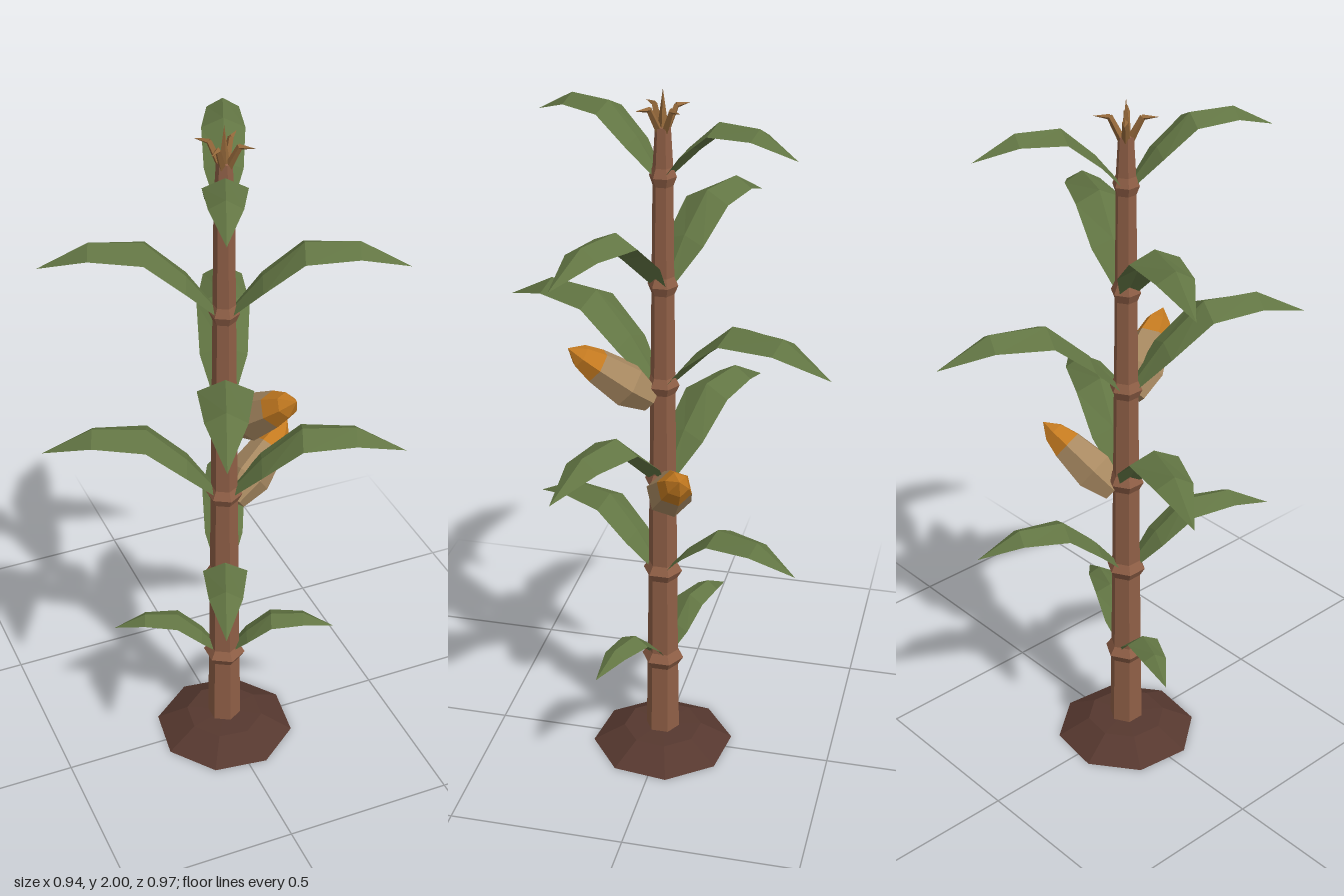
import * as THREE from 'three';

const flat = (name, color) => {
  const m = new THREE.MeshStandardMaterial({ color, flatShading: true });
  m.name = name;
  return m;
};
const deg = THREE.MathUtils.degToRad;
const lathe = (points, sides, start = 0) =>
  new THREE.LatheGeometry(points.map(([r, y]) => new THREE.Vector2(r, y)), sides, start);

// Folded leaf pointing along +x: rows of [reach, height, half width, edge drop], for length 1
const LEAF = [
  [0.04, 0.02, 0.05, 0.02], [0.205, 0.225, 0.125, 0.045], [0.425, 0.425, 0.14, 0.065],
  [0.72, 0.43, 0.105, 0.06], [1, 0.275, 0, 0],
];
function leafGeometry() {
  const pos = [], index = [];
  LEAF.forEach(([x, y, w, drop], i) => {
    pos.push(x, y - drop, -w, x, y, 0, x, y - drop, w);
    if (i === LEAF.length - 1) return;
    for (let j = 0; j < 2; j++) {
      const a = i * 3 + j, b = a + 3;
      index.push(a + 1, b + 1, b, a + 1, b, a);
    }
  });
  const g = new THREE.BufferGeometry();
  g.setAttribute('position', new THREE.Float32BufferAttribute(pos, 3));
  g.setIndex(index);
  g.computeVertexNormals();
  return g;
}

export function createModel() {
  const model = new THREE.Group();
  model.name = 'cornPlant';
  const soil = flat('soil', 0x56382f);
  const stem = flat('stem', 0x8f5f46);
  const green = flat('leafGreen', 0x627543);
  green.side = THREE.DoubleSide;
  const huskTan = flat('huskTan', 0xa88961);
  const kernel = flat('kernelOrange', 0xc47a20);
  const straw = flat('tasselBrown', 0x94683a);

  const add = (parent, name, geometry, material) => {
    const mesh = new THREE.Mesh(geometry, material);
    mesh.name = name;
    parent.add(mesh);
    return mesh;
  };

  // Soil mound
  add(model, 'soilMound',
    lathe([[0, 0], [0.207, 0], [0.115, 0.052], [0, 0.058]], 8, deg(15)), soil);

  // Stalk with a flared ring at every node
  const nodes = [0.3, 0.595, 0.885, 1.18, 1.47, 1.77];
  const radius = (y) => 0.05 - 0.0125 * y;
  const profile = [[0, 0.02], [radius(0), 0.02]];
  for (const y of nodes) {
    const r = radius(y);
    profile.push([r, y - 0.025], [r * 1.33, y], [r * 0.98, y + 0.025]);
  }
  profile.push([0.021, 1.9], [0, 1.905]);
  add(model, 'stalk', lathe(profile, 6), stem);

  // Opposite leaf pairs, turned a quarter at each node
  const leafShape = leafGeometry();
  const lengths = [0.325, 0.44, 0.505, 0.525, 0.485, 0.405];
  nodes.forEach((y, i) => {
    for (const side of [0, 180]) {
      const leaf = add(model, 'leaf', leafShape, green);
      leaf.position.y = y;
      leaf.scale.setScalar(lengths[i]);
      leaf.rotation.y = deg((i % 2 ? 68 : -22) + side);
    }
  });

  // Ears: husk and exposed cob on a tilted axis
  const huskShape = lathe([[0, 0], [0.038, 0], [0.065, 0.08], [0.05, 0.185]], 6);
  const cobShape = lathe([[0.05, 0.185], [0.034, 0.238], [0, 0.28]], 6);
  for (const [y, heading] of [[0.842, 23], [1.138, -66]]) {
    const ear = new THREE.Group();
    ear.name = 'ear';
    add(ear, 'husk', huskShape, huskTan);
    add(ear, 'cob', cobShape, kernel);
    const a = deg(heading);
    const c = Math.cos(a), s = -Math.sin(a), lift = deg(37);
    ear.position.set(0.035 * c, y, 0.035 * s);
    ear.quaternion.setFromUnitVectors(new THREE.Vector3(0, 1, 0),
      new THREE.Vector3(Math.cos(lift) * c, Math.sin(lift), Math.cos(lift) * s));
    model.add(ear);
  }

  // Tassel: centre spike and four bent prongs
  const tassel = new THREE.Group();
  tassel.name = 'tassel';
  model.add(tassel);
  const limb = (parent, name, from, to, r0, r1) => {
    const a = new THREE.Vector3(...from), b = new THREE.Vector3(...to);
    const m = add(parent, name, new THREE.CylinderGeometry(r1, r0, a.distanceTo(b), 4), straw);
    m.position.copy(a).lerp(b, 0.5);
    m.quaternion.setFromUnitVectors(new THREE.Vector3(0, 1, 0), b.sub(a).normalize());
  };
  limb(tassel, 'spike', [0, 1.89, 0], [0, 2, 0], 0.016, 0);
  for (let i = 0; i < 4; i++) {
    const prong = new THREE.Group();
    prong.name = 'prong';
    prong.rotation.y = deg(45 + 90 * i);
    limb(prong, 'prongBase', [0.008, 1.885, 0], [0.042, 1.952, 0], 0.011, 0.008);
    limb(prong, 'prongTip', [0.04, 1.95, 0], [0.083, 1.952, 0], 0.008, 0);
    tassel.add(prong);
  }
  return model;
}
